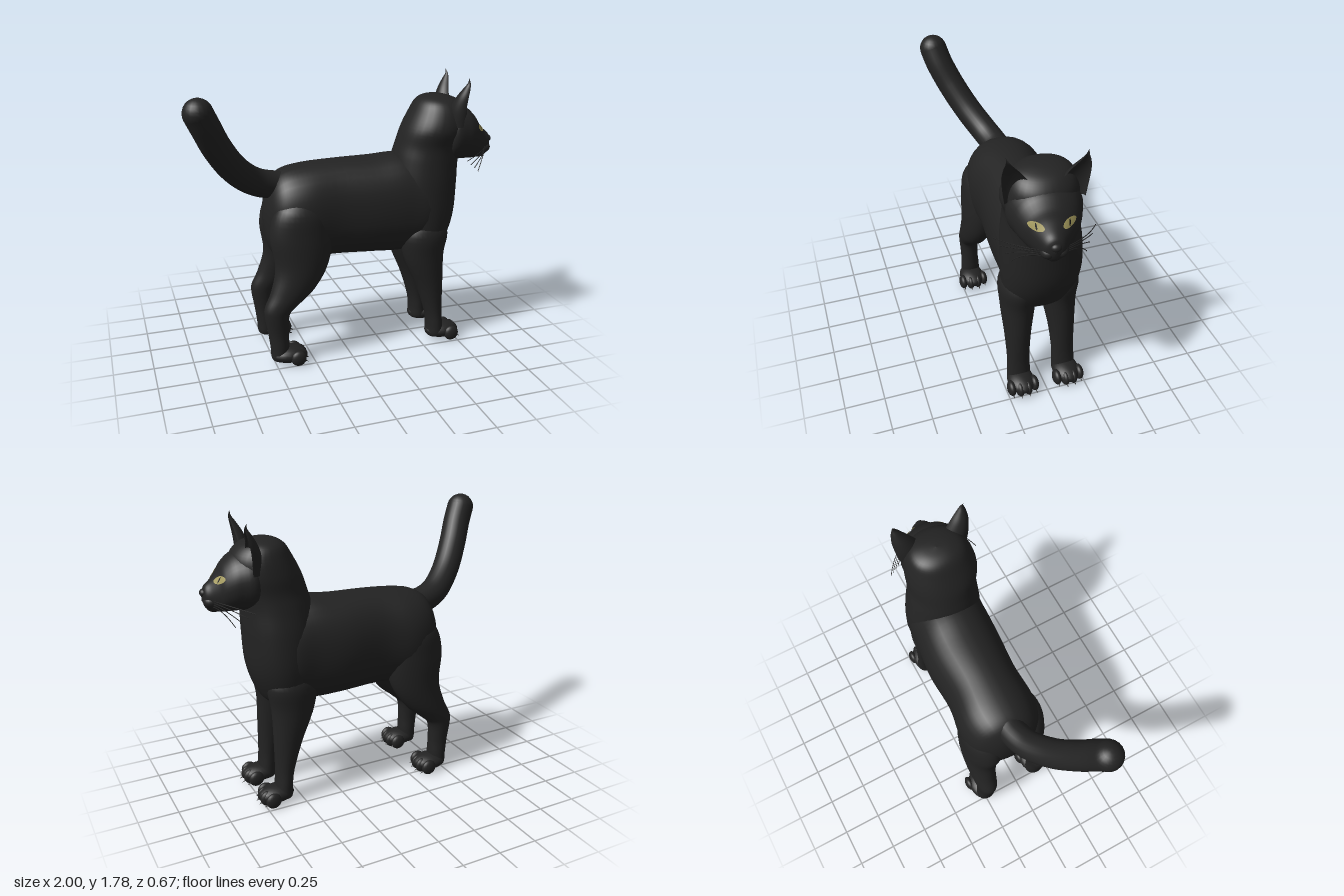
import * as THREE from 'three';

const fur = new THREE.MeshStandardMaterial({ color: 0x232323 });
fur.name = 'black fur';
const dark = new THREE.MeshStandardMaterial({ color: 0x141414, side: THREE.DoubleSide });
dark.name = 'pupil black';
const iris = new THREE.MeshStandardMaterial({ color: 0xa69c5e, side: THREE.DoubleSide });
iris.name = 'yellow eye';

function add(parent, name, geometry, material = fur) {
  const mesh = new THREE.Mesh(geometry, material);
  mesh.name = name;
  parent.add(mesh);
  return mesh;
}

// Smooth closed skin through oval rings, listed in rising order along the axis.
// Axis 'x': [x, y, z, ry, rz].  Axis 'y': [y, x, z, rx, rz].
// hollow scoops the +x side inwards (ears only).
function loft(axis, rings, { steps = 5, sides = 32, power = 2, hollow = false } = {}) {
  const pos = [], idx = [], n = rings.length;
  const spline = (k, i, t) => {
    const p = d => rings[Math.min(n - 1, Math.max(0, i + d))][k];
    const m0 = (p(1) - p(-1)) / 2, m1 = (p(2) - p(0)) / 2, t2 = t * t, t3 = t2 * t;
    return (2 * t3 - 3 * t2 + 1) * p(0) + (t3 - 2 * t2 + t) * m0 + (3 * t2 - 2 * t3) * p(1) + (t3 - t2) * m1;
  };
  const round = v => Math.sign(v) * Math.abs(v) ** (2 / power);
  const count = (n - 1) * steps;
  for (let r = 0; r <= count; r++) {
    const i = Math.min(n - 2, Math.floor(r / steps)), t = r / steps - i;
    const [a, b, c, d, e] = [0, 1, 2, 3, 4].map(k => spline(k, i, t));
    const rb = Math.max(d, 0.0005), rc = Math.max(e, 0.0005);
    for (let j = 0; j < sides; j++) {
      const ang = j / sides * Math.PI * 2;
      const u = round(Math.cos(ang)), v = round(Math.sin(ang));
      if (axis === 'x') pos.push(a, b + rb * u, c + rc * v);
      else pos.push(b + rb * (hollow && v > 0 ? -0.5 * v : v), a, c + rc * u);
      if (r < count) {
        const p = r * sides + j, q = r * sides + (j + 1) % sides;
        idx.push(p, q, p + sides, q, q + sides, p + sides);
      }
    }
  }
  const g = new THREE.BufferGeometry();
  g.setAttribute('position', new THREE.Float32BufferAttribute(pos, 3));
  g.setIndex(idx);
  g.computeVertexNormals();
  return g;
}

function ball(parent, name, x, y, z, rx, ry, rz, material = fur) {
  const m = add(parent, name, new THREE.SphereGeometry(1, 20, 14), material);
  m.position.set(x, y, z);
  m.scale.set(rx, ry, rz);
  return m;
}

// Paw pad with four toes and claws
function paw(parent, x, z) {
  const g = new THREE.Group();
  g.name = 'paw';
  g.position.set(x, 0, z);
  parent.add(g);
  ball(g, 'pad', 0, 0.065, 0, 0.115, 0.055, 0.085);
  [-0.075, -0.026, 0.026, 0.075].forEach(dz => {
    const front = 0.075 - Math.abs(dz) * 0.4;
    ball(g, 'toe', front, 0.056, dz, 0.05, 0.05, 0.028);
    const claw = add(g, 'claw', new THREE.ConeGeometry(0.008, 0.035, 6));
    claw.position.set(front + 0.048, 0.033, dz);
    claw.rotation.z = -Math.PI / 2 - 0.5;
  });
}

// Almond plate laid onto the face surface
function eyePlate(face, y0, z0, w, h, lift, side) {
  const ray = new THREE.Raycaster(), back = new THREE.Vector3(-1, 0, 0);
  const g = new THREE.PlaneGeometry(2, 2, 12, 6), p = g.attributes.position;
  for (let i = 0; i < p.count; i++) {
    const u = p.getX(i), v = p.getY(i);
    const z = z0 + u * w, y = y0 + v * h * (1 - u * u) ** 0.6 + u * side * 0.006;
    ray.set(new THREE.Vector3(2, y, z), back);
    const hit = ray.intersectObject(face)[0];
    p.setXYZ(i, (hit ? hit.point.x : 0.25) + lift, y, z);
  }
  g.computeVertexNormals();
  return g;
}

function createModel() {
  const cat = new THREE.Group();
  cat.name = 'cat';

  add(cat, 'body', loft('x', [
    [-0.505, 0.92, -0.04, 0, 0],
    [-0.49, 0.92, -0.04, 0.13, 0.1],
    [-0.45, 0.92, -0.04, 0.24, 0.18],
    [-0.38, 0.935, -0.045, 0.29, 0.235],
    [-0.25, 0.95, -0.045, 0.305, 0.26],
    [-0.05, 0.96, -0.035, 0.31, 0.24],
    [0.2, 0.957, -0.03, 0.318, 0.255],
    [0.4, 0.96, -0.015, 0.325, 0.248],
    [0.56, 0.96, -0.005, 0.27, 0.235],
    [0.66, 0.96, 0, 0.15, 0.12],
    [0.7, 0.96, 0, 0, 0]], { power: 2.25 }));

  // Chest, neck and skull in one upright skin
  add(cat, 'chestAndNeck', loft('y', [
    [0.62, 0.53, 0, 0, 0],
    [0.65, 0.53, 0, 0.12, 0.17],
    [0.75, 0.54, 0, 0.175, 0.225],
    [0.9, 0.55, -0.005, 0.21, 0.245],
    [1.1, 0.55, 0, 0.222, 0.24],
    [1.25, 0.56, 0.01, 0.215, 0.222],
    [1.35, 0.582, 0.02, 0.212, 0.212],
    [1.45, 0.61, 0.035, 0.21, 0.222],
    [1.55, 0.635, 0.035, 0.185, 0.2],
    [1.62, 0.63, 0.03, 0.135, 0.16],
    [1.652, 0.62, 0.025, 0.07, 0.09],
    [1.662, 0.62, 0.025, 0, 0]], { power: 2.1 }));

  // Tail with a round tip
  const tailPath = new THREE.CatmullRomCurve3([
    [-0.34, 1.13, -0.04], [-0.44, 1.14, -0.035], [-0.56, 1.18, 0], [-0.69, 1.285, 0.075],
    [-0.8, 1.44, 0.16], [-0.87, 1.58, 0.22], [-0.912, 1.667, 0.245]
  ].map(p => new THREE.Vector3(...p)));
  add(cat, 'tail', new THREE.TubeGeometry(tailPath, 40, 0.088, 24));
  ball(cat, 'tailTip', -0.912, 1.667, 0.245, 0.088, 0.088, 0.088);

  // Legs in mirrored pairs
  for (const s of [1, -1]) {
    const side = s > 0 ? 'left' : 'right';
    const fore = new THREE.Group(), hind = new THREE.Group();
    fore.name = side + 'FrontLeg';
    hind.name = side + 'HindLeg';
    cat.add(fore, hind);
    add(fore, 'leg', loft('y', [
      [0.02, 0.62, 0.15, 0.01, 0.01],
      [0.04, 0.62, 0.15, 0.06, 0.07],
      [0.12, 0.612, 0.15, 0.055, 0.075],
      [0.22, 0.6, 0.148, 0.06, 0.072],
      [0.4, 0.57, 0.143, 0.09, 0.083],
      [0.62, 0.525, 0.132, 0.137, 0.107],
      [0.8, 0.53, 0.13, 0.15, 0.11],
      [0.95, 0.54, 0.13, 0, 0]
    ].map(r => [r[0], r[1], s * r[2], r[3], r[4]])));
    paw(fore, 0.665, s * 0.152);
    add(hind, 'leg', loft('y', [
      [0.02, -0.47, 0.2, 0.01, 0.01],
      [0.04, -0.47, 0.2, 0.05, 0.06],
      [0.12, -0.468, 0.2, 0.06, 0.065],
      [0.22, -0.475, 0.2, 0.066, 0.06],
      [0.34, -0.48, 0.2, 0.08, 0.066],
      [0.4, -0.45, 0.198, 0.105, 0.074],
      [0.5, -0.37, 0.19, 0.14, 0.09],
      [0.65, -0.305, 0.17, 0.17, 0.11],
      [0.85, -0.3, 0.15, 0.2, 0.125],
      [1.02, -0.3, 0.14, 0.15, 0.11],
      [1.14, -0.3, 0.12, 0, 0]
    ].map(r => [r[0], r[1], s * r[2] - 0.035, r[3], r[4]])));
    paw(hind, -0.41, s * 0.205 - 0.033);
  }

  // Head, turned slightly to its left
  const head = new THREE.Group();
  head.name = 'head';
  const face = add(head, 'face', loft('x', [
    [0, 1.42, 0, 0, 0],
    [0.06, 1.42, 0, 0.17, 0.2],
    [0.17, 1.412, 0, 0.172, 0.19],
    [0.24, 1.385, 0, 0.147, 0.153],
    [0.28, 1.357, 0, 0.117, 0.115],
    [0.32, 1.337, 0, 0.09, 0.078],
    [0.355, 1.333, 0, 0.062, 0.05],
    [0.372, 1.335, 0, 0, 0]], { power: 2.1, sides: 40 }));
  face.updateMatrixWorld();
  ball(head, 'nose', 0.358, 1.357, 0, 0.024, 0.024, 0.03);
  ball(head, 'chin', 0.3, 1.265, 0, 0.045, 0.03, 0.04);
  for (const s of [1, -1]) {
    const side = s > 0 ? 'left' : 'right';
    ball(head, side + 'Muzzle', 0.318, 1.308, s * 0.035, 0.048, 0.038, 0.042);
    add(head, side + 'Eye', eyePlate(face, 1.447, s * 0.09, 0.042, 0.023, 0.004, s), iris);
    add(head, side + 'Pupil', eyePlate(face, 1.447, s * 0.09, 0.005, 0.017, 0.006, s), dark);
    add(head, side + 'Ear', loft('y', [
      [1.48, 0.11, 0.135, 0.07, 0.085],
      [1.58, 0.115, 0.153, 0.072, 0.08],
      [1.66, 0.125, 0.18, 0.055, 0.058],
      [1.72, 0.138, 0.2, 0.032, 0.03],
      [1.755, 0.142, 0.208, 0.013, 0.011],
      [1.785, 0.132, 0.216, 0, 0]
    ].map(r => [r[0], r[1], s * r[2], r[3], r[4]]), { hollow: true }));
    // Whiskers sweep out, back and down
    for (let k = 0; k < 4; k++) {
      const curve = new THREE.QuadraticBezierCurve3(
        new THREE.Vector3(0.32, 1.32 - k * 0.012, s * 0.06),
        new THREE.Vector3(0.28, 1.335 - k * 0.015, s * (0.2 - k * 0.015)),
        new THREE.Vector3(0.12 + k * 0.035, 1.285 - k * 0.03, s * (0.285 - k * 0.025)));
      add(head, side + 'Whisker', new THREE.TubeGeometry(curve, 14, 0.0025, 5));
    }
  }
  head.position.set(0.62, 0, 0.035);
  head.rotation.y = -0.11;
  cat.add(head);
  return cat;
}

export { createModel };
